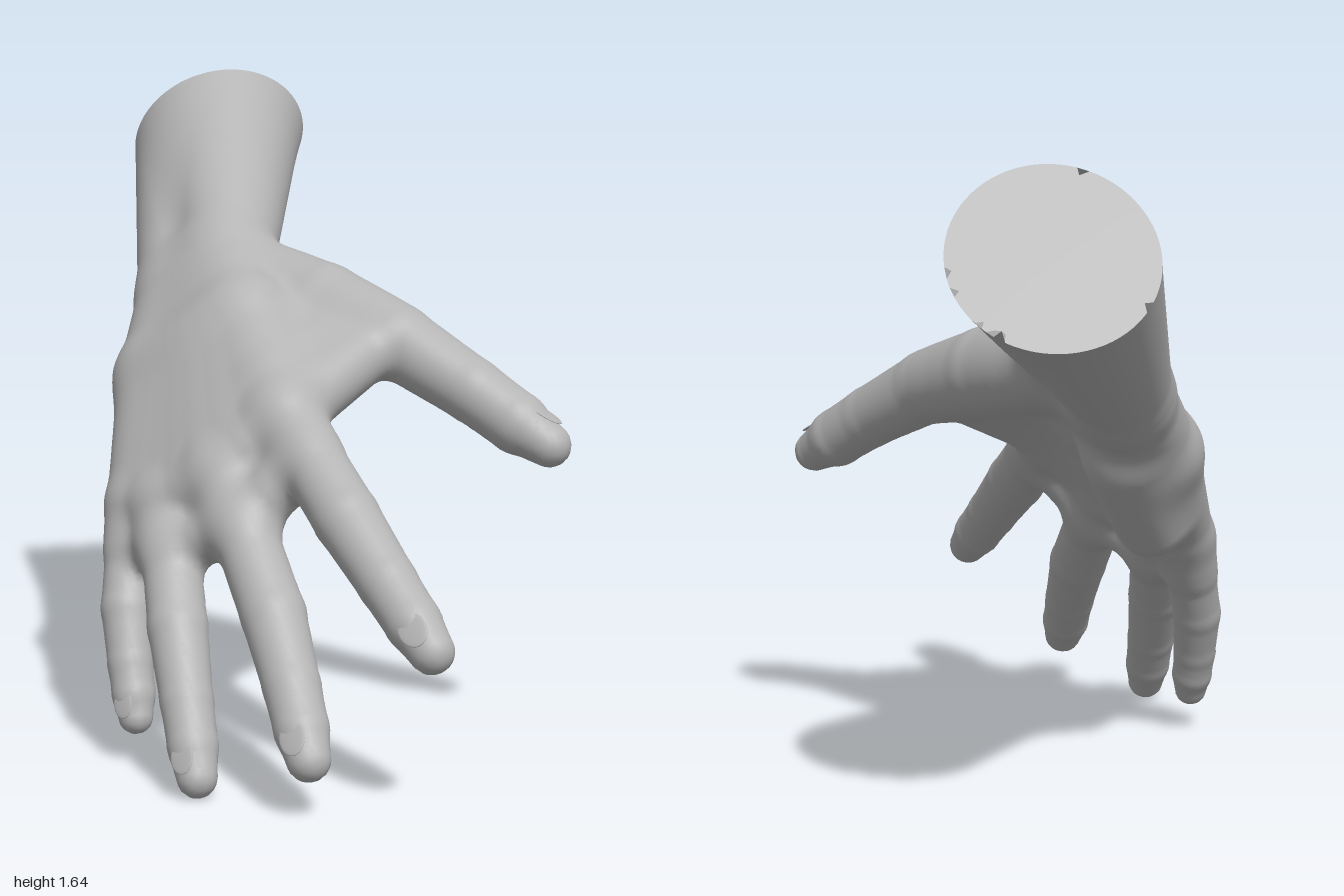
import * as THREE from 'three';

const vec = (x, y, z) => new THREE.Vector3(x, y, z);
const joint = (point, r) => ({ point, r });
const range = (n) => Array.from({ length: n }, (_, i) => i / (n - 1));

// A digit curves through root, middle joint and tip; its thickness follows a profile
const STEPS = [0, 0.25, 0.5, 0.75, 0.9, 1];
const FINGER_PROFILE = [1.1, 1.02, 1.03, 0.9, 0.85, 0.69];
const THUMB_PROFILE = [1.4, 1.42, 1.17, 1, 0.95, 0.68];
function digit(name, size, root, middle, tip, profile = FINGER_PROFILE, nailUp = vec(-0.75, 0.67, 0.08)) {
  const curve = new THREE.CatmullRomCurve3([root, middle, tip]);
  const chain = STEPS.map((t, i) => joint(curve.getPoint(t), size * profile[i]));
  return { name, size, curve, nailUp, blend: 0.008, chains: [chain] };
}

const fingers = [
  digit('indexFinger', 0.078, vec(-0.155, 0.84, 0.28), vec(-0.195, 0.645, 0.6), vec(-0.2, 0.395, 0.945)),
  digit('middleFinger', 0.076, vec(-0.29, 0.7, 0.2), vec(-0.35, 0.415, 0.52), vec(-0.43, 0.138, 0.785)),
  digit('ringFinger', 0.071, vec(-0.36, 0.61, 0.06), vec(-0.475, 0.355, 0.29), vec(-0.56, 0.048, 0.51)),
  digit('littleFinger', 0.062, vec(-0.38, 0.59, -0.06), vec(-0.475, 0.355, 0.05), vec(-0.52, 0.11, 0.165)),
];
const thumb = digit('thumb', 0.081, vec(0.1, 1.11, -0.26), vec(0.225, 0.99, 0.23), vec(0.39, 0.768, 0.635),
  THUMB_PROFILE, vec(0.25, 0.8, 0.3));

// Metacarpals fan from across the wrist to the row of finger roots, arching over the back of the hand
const wristThumbSide = vec(0.085, 1.155, -0.34), wristLittleSide = vec(0.005, 1.05, -0.45);
const knuckles = new THREE.CatmullRomCurve3(fingers.map((f) => f.curve.getPoint(0)));
const metacarpals = range(8).map((t) => {
  const wrist = wristThumbSide.clone().lerp(wristLittleSide, t), knuckle = knuckles.getPoint(t);
  const arch = wrist.clone().lerp(knuckle, 0.45).add(vec(-0.02, 0.02, 0));
  return [joint(wrist, 0.11), joint(arch, 0.108 - 0.012 * t), joint(knuckle, 0.09 - 0.018 * t)];
});
// Webbing between thumb and index finger
const thumbWeb = range(5).map((t) => [
  joint(thumb.curve.getPoint(0.12 + 0.34 * t), 0.09 - 0.015 * t),
  joint(wristThumbSide.clone().lerp(knuckles.getPoint(0), 0.3 + 0.7 * t), 0.085 - 0.005 * t),
]);
const palm = { name: 'palm', blend: 0.05, chains: [
  ...metacarpals,
  ...thumbWeb,
  // webbing between the finger roots
  fingers.map((f) => joint(f.curve.getPoint(0.19), f.size * 0.9)),
  // heel of the hand
  [joint(vec(-0.08, 0.87, -0.3), 0.11), joint(vec(-0.22, 0.67, -0.17), 0.095)],
] };
const forearm = { name: 'forearm', blend: 0.04, chains:
  [wristThumbSide, wristLittleSide].map((side) => [joint(side, 0.122), joint(vec(0.47, 1.53, -0.985), 0.25)]),
};

const limbs = [forearm, palm, thumb, ...fingers];
const LIMB_BLEND = 0.04;
const cut = new THREE.Plane().setFromNormalAndCoplanarPoint(
  vec(0.3, 0.56, -0.77).normalize(), vec(0.38, 1.445, -0.86));

const smoothMin = (a, b, k) => {
  const h = Math.max(k - Math.abs(a - b), 0) / k;
  return Math.min(a, b) - h * h * k * 0.25;
};

// Distance to a tapered bone
function boneDistance(p, a, b) {
  const ux = b.point.x - a.point.x, uy = b.point.y - a.point.y, uz = b.point.z - a.point.z;
  const px = p.x - a.point.x, py = p.y - a.point.y, pz = p.z - a.point.z;
  const t = Math.min(1, Math.max(0, (px * ux + py * uy + pz * uz) / (ux * ux + uy * uy + uz * uz)));
  const dx = px - t * ux, dy = py - t * uy, dz = pz - t * uz;
  return Math.sqrt(dx * dx + dy * dy + dz * dz) - a.r - t * (b.r - a.r);
}

function limbDistance(limb, p) {
  let d = 10;
  for (const chain of limb.chains)
    for (let i = 1; i < chain.length; i++) d = smoothMin(d, boneDistance(p, chain[i - 1], chain[i]), limb.blend);
  return d;
}

// All limbs blended together, then cut flat at the end of the forearm
const skin = (p) => limbs.reduce((d, limb) => smoothMin(d, limbDistance(limb, p), LIMB_BLEND), 10);
const solid = (p) => Math.max(skin(p), cut.distanceToPoint(p));

function gradient(f, p, e) {
  const slope = (x, y, z) => f(vec(p.x + x, p.y + y, p.z + z)) - f(vec(p.x - x, p.y - y, p.z - z));
  return vec(slope(e, 0, 0), slope(0, e, 0), slope(0, 0, e)).normalize();
}
const pullTo = (f, p) => p.addScaledVector(gradient(f, p, 0.002), -f(p));

// Wraps a quad mesh around the solid and sorts its faces by limb, the flat cut coming last
function wrapSkin() {
  const cell = 0.018, origin = [-0.68, -0.05, -1.06], size = [76, 98, 118];
  const stride = [1, size[0], size[0] * size[1]];
  const values = new Float32Array(stride[2] * size[2]);
  const eachPoint = (visit) => {
    for (let k = 0, id = 0; k < size[2]; k++)
      for (let j = 0; j < size[1]; j++)
        for (let i = 0; i < size[0]; i++, id++) visit(id, [i, j, k]);
  };
  const place = (g) => vec(...g.map((v, a) => origin[a] + v * cell));
  eachPoint((id, g) => { values[id] = solid(place(g)); });

  // one vertex in every cell the surface passes through, snapped to the rim where it is near
  const verts = new Map();
  eachPoint((id, g) => {
    if (g.some((v, a) => v >= size[a] - 1)) return;
    const at = (c) => values[id + (c & 1) + (c >> 1 & 1) * stride[1] + (c >> 2) * stride[2]];
    const sum = [0, 0, 0];
    let count = 0;
    for (let c = 0; c < 8; c++)
      for (let a = 0; a < 3; a++) {
        if (c >> a & 1) continue;
        const v0 = at(c), v1 = at(c | 1 << a);
        if ((v0 < 0) === (v1 < 0)) continue;
        for (let m = 0; m < 3; m++) sum[m] += m === a ? v0 / (v0 - v1) : c >> m & 1;
        count++;
      }
    if (!count) return;
    const p = place(g.map((v, a) => v + sum[a] / count));
    for (let s = 0; s < 2; s++) pullTo(solid, p);
    if (Math.max(Math.abs(skin(p)), Math.abs(cut.distanceToPoint(p))) < cell * 0.7)
      for (let s = 0; s < 3; s++) cut.projectPoint(pullTo(skin, p), p);
    const distances = limbs.map((l) => limbDistance(l, p));
    verts.set(id, {
      p, n: gradient(skin, p, 0.008),
      onCut: Math.abs(cut.distanceToPoint(p)) < 0.001,
      limb: distances.indexOf(Math.min(...distances)),
    });
  });

  // one quad across every grid edge that crosses the surface
  const parts = [...limbs, cut].map(() => ({ position: [], normal: [], index: [], ids: new Map() }));
  eachPoint((id, g) => {
    for (let a = 0; a < 3; a++) {
      const b = stride[(a + 1) % 3], c = stride[(a + 2) % 3];
      if (g[a] >= size[a] - 1 || (values[id] < 0) === (values[id + stride[a]] < 0)) continue;
      const quad = [id - b - c, id - c, id, id - b];
      if (values[id] >= 0) quad.reverse();
      const flat = quad.every((q) => verts.get(q).onCut);
      const part = parts[flat ? limbs.length : verts.get(quad[0]).limb];
      const v = quad.map((q) => {
        if (!part.ids.has(q)) {
          part.ids.set(q, part.ids.size);
          part.position.push(...verts.get(q).p);
          part.normal.push(...(flat ? cut.normal : verts.get(q).n));
        }
        return part.ids.get(q);
      });
      part.index.push(v[0], v[1], v[2], v[0], v[2], v[3]);
    }
  });
  return parts;
}

// Thin nail lying on the back of a fingertip
function makeNail({ name, size, curve, nailUp }, material) {
  const along = curve.getTangent(1);
  const up = nailUp.clone().addScaledVector(along, -nailUp.dot(along)).normalize();
  const nail = new THREE.Mesh(new THREE.SphereGeometry(1, 20, 12), material);
  nail.name = name + 'Nail';
  nail.scale.set(size * 0.45, 0.0045, size * 0.6);
  nail.quaternion.setFromRotationMatrix(new THREE.Matrix4().makeBasis(up.clone().cross(along), up, along));
  nail.position.copy(curve.getPoint(0.95)).addScaledVector(up, size * 0.75);
  return nail;
}

export function createModel() {
  const group = new THREE.Group();
  group.name = 'hand';
  const clay = new THREE.MeshStandardMaterial({ color: 0xb4b4b4 });
  clay.name = 'grey clay';

  const names = [...limbs.map((limb) => limb.name), 'forearmCut'];
  wrapSkin().forEach((part, i) => {
    const geometry = new THREE.BufferGeometry();
    geometry.setAttribute('position', new THREE.Float32BufferAttribute(part.position, 3));
    geometry.setAttribute('normal', new THREE.Float32BufferAttribute(part.normal, 3));
    geometry.setIndex(part.index);
    const mesh = new THREE.Mesh(geometry, clay);
    mesh.name = names[i];
    group.add(mesh);
  });
  for (const limb of [thumb, ...fingers]) group.add(makeNail(limb, clay));
  return group;
}
